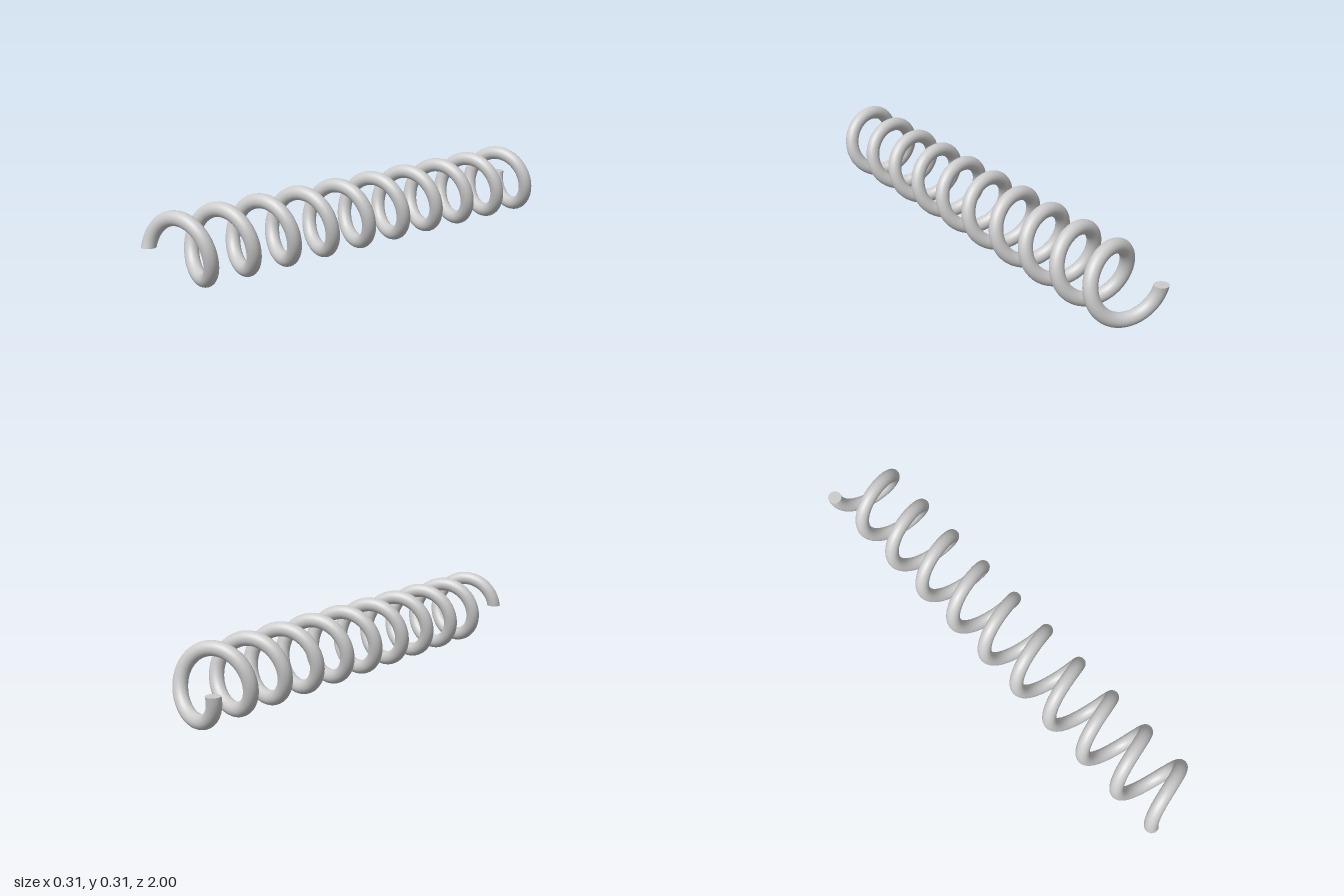
import * as THREE from 'three';
import { mergeVertices } from 'three/addons/utils/BufferGeometryUtils.js';

const TURNS = 10;
const COIL_RADIUS = 0.1245; // coil axis to wire centre
const WIRE_RADIUS = 0.029;
const LENGTH = 2 - 2 * WIRE_RADIUS; // travel of the wire centre along z

// Straight capped wire of unit height, wound into a coil along z
function coilGeometry() {
  let wire = new THREE.CylinderGeometry(WIRE_RADIUS, WIRE_RADIUS, 1, 32, TURNS * 64);
  wire.deleteAttribute('uv');
  wire = mergeVertices(wire, 1e-5); // closes the lengthwise seam, keeps the cap edges sharp

  const pos = wire.attributes.position;
  for (let i = 0; i < pos.count; i++) {
    const t = pos.getY(i) + 0.5;
    const angle = t * TURNS * Math.PI * 2;
    const r = COIL_RADIUS - pos.getX(i);
    pos.setXYZ(
      i,
      -r * Math.cos(angle),
      COIL_RADIUS + WIRE_RADIUS + r * Math.sin(angle),
      pos.getZ(i) + LENGTH * (0.5 - t)
    );
  }
  wire.computeVertexNormals();
  return wire;
}

export function createModel() {
  const group = new THREE.Group();
  group.name = 'coilSpring';
  const material = new THREE.MeshStandardMaterial({ color: 0xcccccc });
  const coil = new THREE.Mesh(coilGeometry(), material);
  coil.name = 'springWire';
  group.add(coil);
  return group;
}
